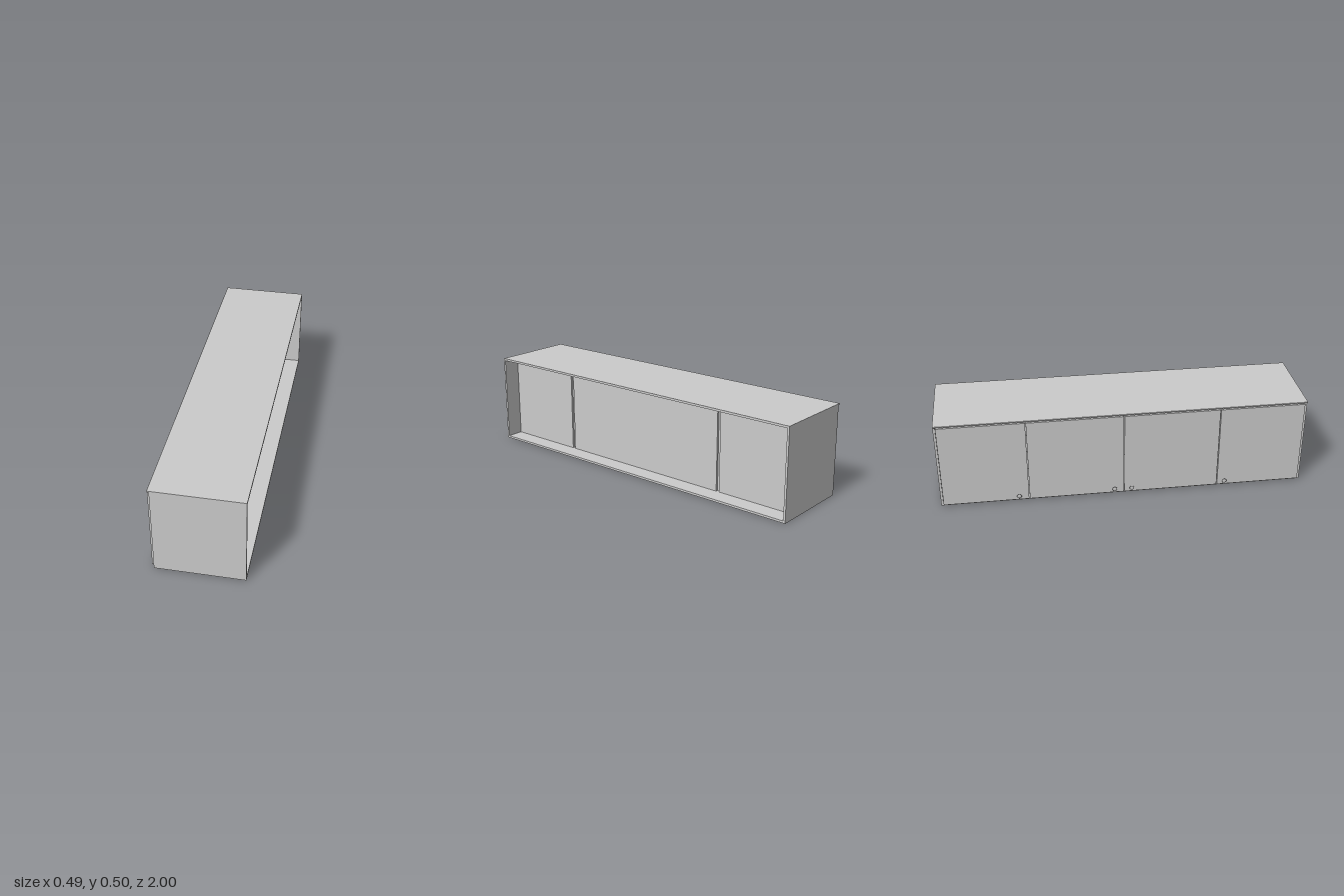
import * as THREE from 'three';

const material = new THREE.MeshStandardMaterial({ color: 0xcccccc });

// Box given by its min and max along each axis
function slab(group, name, [x0, x1], [y0, y1], [z0, z1]) {
  const mesh = new THREE.Mesh(new THREE.BoxGeometry(x1 - x0, y1 - y0, z1 - z0), material);
  mesh.position.set((x0 + x1) / 2, (y0 + y1) / 2, (z0 + z1) / 2);
  mesh.name = name;
  group.add(mesh);
  return mesh;
}

export function createModel() {
  const model = new THREE.Group();
  model.name = 'wallCabinet';

  const front = -0.222, back = 0.243; // carcass depth
  const doorFace = -0.234;
  const t = 0.012;                    // board thickness
  const top = 0.5, underTop = top - t;
  const split = 0.524, half = 0.009;  // partition position and half thickness

  // Carcass: floor and two ends
  slab(model, 'bottomPanel', [front, back], [0, t], [-1 + t, 1 - t]);
  for (const s of [-1, 1]) {
    const a = s * (1 - t), b = s;
    slab(model, 'endPanel', [front, back], [0, underTop], [Math.min(a, b), Math.max(a, b)]);
  }

  // Top with a rounded lip over the doors
  const r = 0.0035, lipY = top - r;
  const profile = new THREE.Shape();
  profile.moveTo(back, underTop);
  profile.lineTo(back, top);
  profile.lineTo(doorFace + r, top);
  profile.absarc(doorFace + r, lipY, r, Math.PI / 2, Math.PI * 1.5, false);
  profile.lineTo(front, lipY - r);
  profile.lineTo(front, underTop);
  profile.closePath();
  const topGeometry = new THREE.ExtrudeGeometry(profile, { depth: 2, bevelEnabled: false, curveSegments: 6 });
  topGeometry.translate(0, 0, -1);
  const topPanel = new THREE.Mesh(topGeometry, material);
  topPanel.name = 'topPanel';
  model.add(topPanel);

  // Partitions, ending just behind the face of the recessed back panels
  const backFace = 0.147;
  for (const s of [-1, 1]) {
    slab(model, 'partition', [front, backFace - t], [t, underTop], [s * split - half, s * split + half]);
  }

  // Recessed back panels, separated by narrow slots
  const inner = 1 - t;
  for (const span of [[-inner, -split - half], [-split + half, split - half], [split + half, inner]]) {
    slab(model, 'backPanel', [backFace - t, backFace], [t, underTop], span);
  }

  // Doors
  const edges = [-0.988, -0.522, 0, 0.522, 0.988], gap = 0.002;
  for (let i = 0; i < 4; i++) {
    slab(model, 'door', [doorFace, front], [0.01, 0.487], [edges[i] + gap, edges[i + 1] - gap]);
  }

  // Knobs: a short stem flaring to a shallow domed head
  const knobProfile = [
    [0, 0], [0.007, 0], [0.006, 0.002], [0.0065, 0.004], [0.012, 0.007],
    [0.013, 0.0082], [0.011, 0.0095], [0.006, 0.0107], [0, 0.011],
  ].map(([x, y]) => new THREE.Vector2(x, y));
  const knobGeometry = new THREE.LatheGeometry(knobProfile, 20);
  knobGeometry.rotateZ(Math.PI / 2);
  for (const z of [-0.577, -0.053, 0.042, 0.563]) {
    const knob = new THREE.Mesh(knobGeometry, material);
    knob.name = 'knob';
    knob.position.set(doorFace, 0.035, z);
    model.add(knob);
  }

  return model;
}
